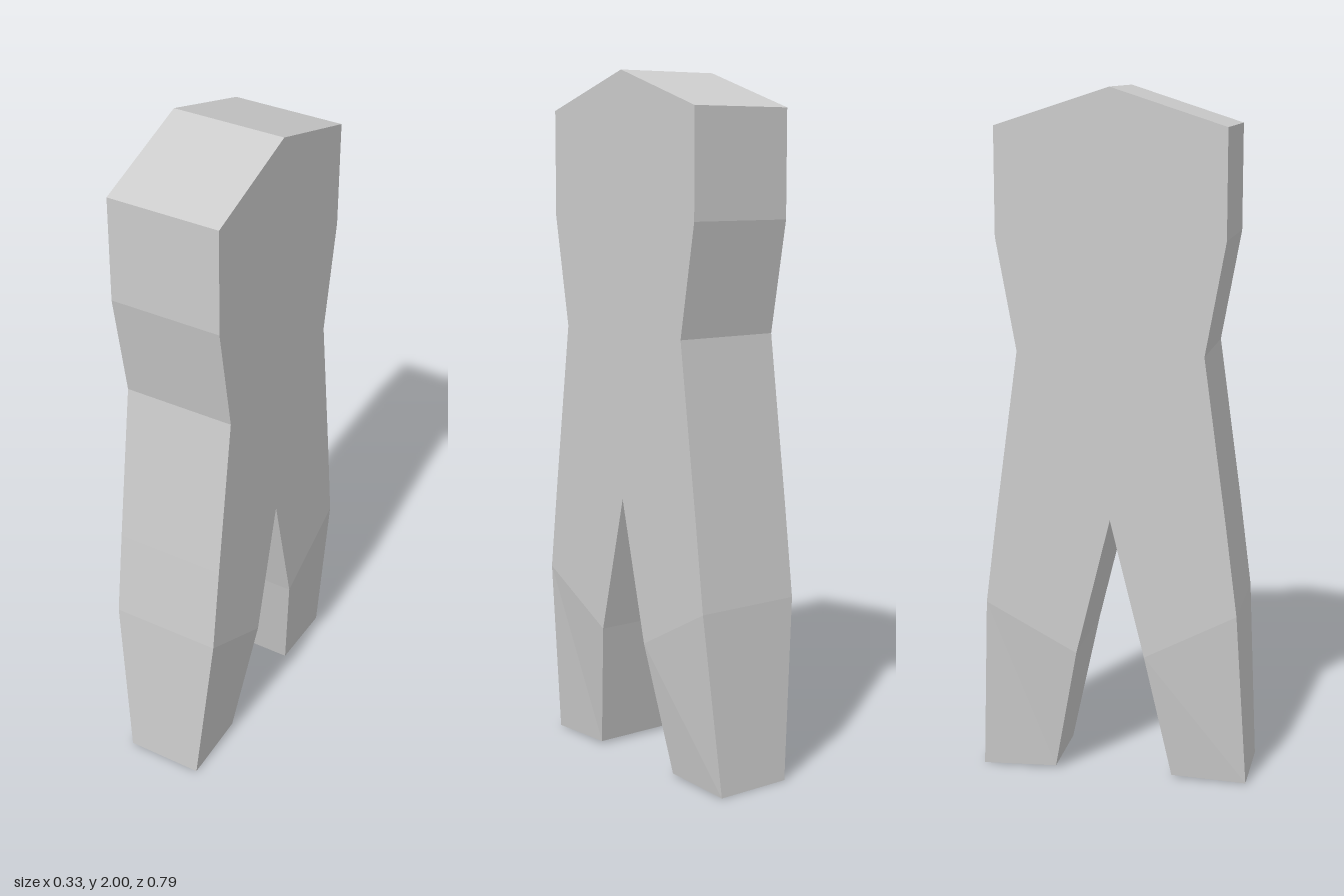
import * as THREE from 'three';

// Rings down one half of the body: [outer z, outer y, inner z, inner y, half width]
const RINGS = [
  [0, 2.0, 0, 2.0, 0.163],            // ridge
  [0.325, 1.895, 0, 1.895, 0.163],    // shoulder
  [0.325, 1.59, 0, 1.59, 0.163],      // chest
  [0.267, 1.27, 0, 1.27, 0.163],      // waist
  [0.333, 0.79, 0, 0.79, 0.163],      // crotch
  [0.367, 0.525, 0.1, 0.385, 0.163],  // knee
  [0.395, 0, 0.175, 0.008, 0.116],    // foot
];
const CROTCH = 4;

// Four corners of a ring: outer -x, outer +x, inner +x, inner -x
function corners([oz, oy, iz, iy, w]) {
  return [[-w, oy, oz], [w, oy, oz], [w, iy, iz], [-w, iy, iz]];
}

// Joins rings first..last with flat quads; the inner side is open above the crotch
function buildSection(first, last) {
  const positions = [];
  const quad = (a, b, c, d) => {
    positions.push(...a, ...b, ...c);
    if (Math.hypot(a[0] - d[0], a[1] - d[1], a[2] - d[2]) > 1e-6) positions.push(...a, ...c, ...d);
  };
  for (let r = first; r < last; r++) {
    const top = corners(RINGS[r]);
    const bottom = corners(RINGS[r + 1]);
    for (let k = 0; k < 4; k++) {
      if (k === 2 && r < CROTCH) continue;
      const n = (k + 1) % 4;
      quad(top[k], bottom[k], bottom[n], top[n]);
    }
  }
  // Sole of the foot
  if (last === RINGS.length - 1) {
    const [d, a, b, c] = corners(RINGS[last]);
    quad(a, d, c, b);
  }
  const geometry = new THREE.BufferGeometry();
  geometry.setAttribute('position', new THREE.Float32BufferAttribute(positions, 3));
  geometry.computeVertexNormals();
  return geometry;
}

export function createModel() {
  const model = new THREE.Group();
  model.name = 'figure';
  const grey = new THREE.MeshStandardMaterial({ color: 0xcccccc });
  grey.name = 'light grey';

  const torso = buildSection(0, CROTCH);
  const leg = buildSection(CROTCH, RINGS.length - 1);

  // The back half is the front half turned around
  for (const [side, angle] of [['front', 0], ['back', Math.PI]]) {
    for (const [part, geometry] of [['Torso', torso], ['Leg', leg]]) {
      const mesh = new THREE.Mesh(geometry, grey);
      mesh.name = side + part;
      mesh.rotation.y = angle;
      model.add(mesh);
    }
  }
  return model;
}
